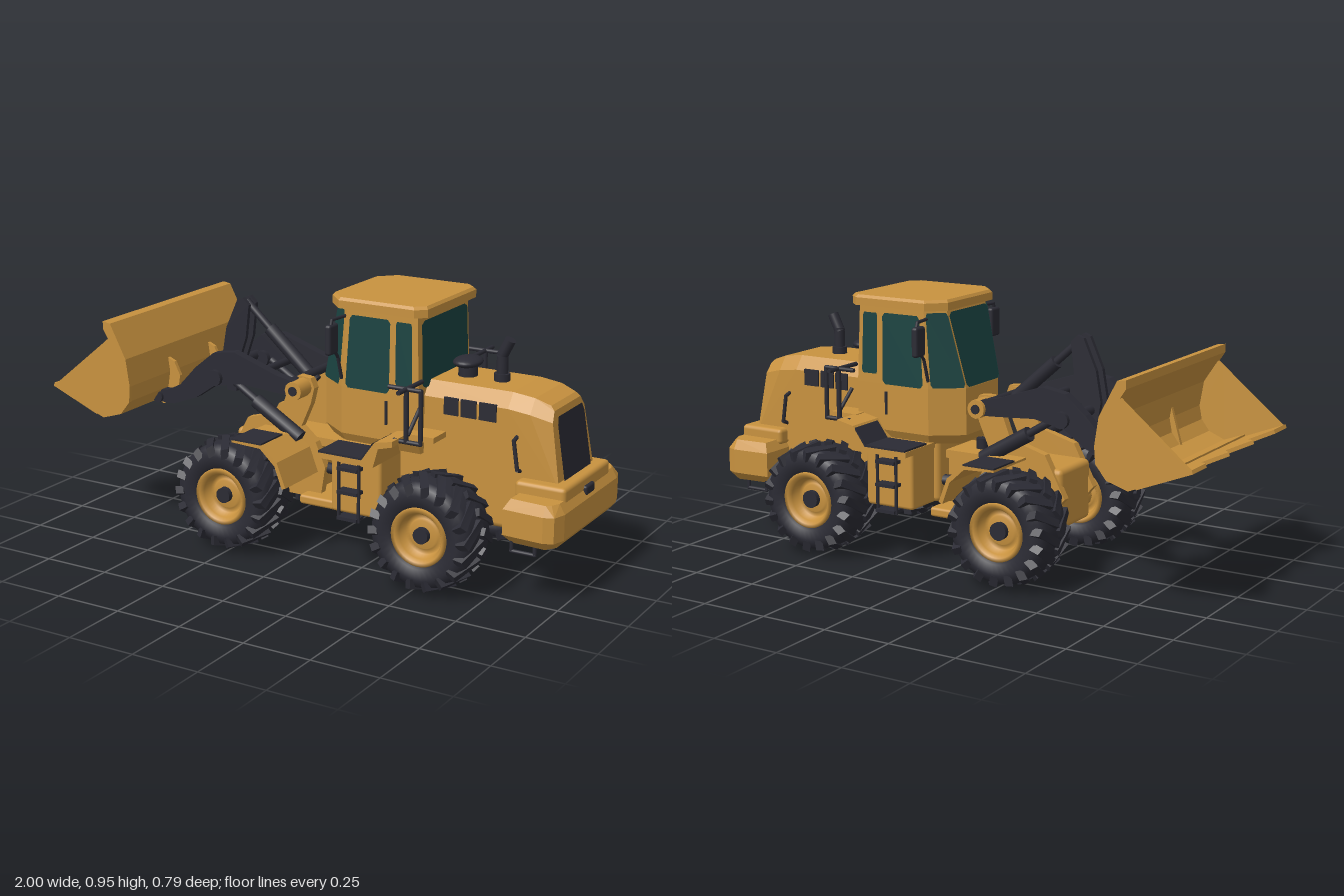
import * as THREE from 'three';
import { mergeGeometries } from 'three/addons/utils/BufferGeometryUtils.js';
import { RoundedBoxGeometry } from 'three/addons/geometries/RoundedBoxGeometry.js';
import { ConvexGeometry } from 'three/addons/geometries/ConvexGeometry.js';

const material = (name, color) => {
  const m = new THREE.MeshStandardMaterial({ color, side: THREE.DoubleSide });
  m.name = name;
  return m;
};

export function createModel() {
  const model = new THREE.Group();
  model.name = 'bucketTractor';
  const paint = material('amberPaint', 0xc8923f);
  const dark = material('charcoal', 0x2b2b34);
  const glass = material('tealGlass', 0x1a4341);
  const V = (x, y, z) => new THREE.Vector3(x, y, z);

  const add = (name, geo, mat, parent = model) => {
    const mesh = new THREE.Mesh(geo, mat);
    mesh.name = name;
    parent.add(mesh);
  };
  // box from its minimum and maximum on each axis
  const box = (name, mat, [x0, x1], [y0, y1], [z0, z1], round = 0) => {
    const size = [x1 - x0, y1 - y0, z1 - z0];
    const geo = round ? new RoundedBoxGeometry(...size, 2, round) : new THREE.BoxGeometry(...size);
    add(name, geo.translate((x0 + x1) / 2, (y0 + y1) / 2, (z0 + z1) / 2), mat);
  };
  // side profile in x and y, given thickness along z, centred at z
  const slab = (name, mat, pts, thick, z = 0) => {
    const shape = new THREE.Shape(pts.map(p => new THREE.Vector2(...p)));
    const geo = new THREE.ExtrudeGeometry(shape, { depth: thick, bevelEnabled: false });
    add(name, geo.translate(0, 0, z - thick / 2), mat);
  };
  // points [x, y, z] are mirrored across z to form a convex body
  const hull = (name, mat, pts) =>
    add(name, new ConvexGeometry(pts.flatMap(([x, y, z]) => [V(x, y, z), V(x, y, -z)])), mat);
  // straight round bars through a list of points
  const rods = (name, mat, pts, r) => {
    const parts = [];
    for (let i = 0; i < pts.length - 1; i++) {
      const a = V(...pts[i]), b = V(...pts[i + 1]), d = b.clone().sub(a);
      const g = new THREE.CylinderGeometry(r, r, d.length() + r * 0.8, 12);
      g.applyQuaternion(new THREE.Quaternion().setFromUnitVectors(V(0, 1, 0), d.normalize()));
      const mid = a.add(b).multiplyScalar(0.5);
      parts.push(g.translate(mid.x, mid.y, mid.z));
    }
    add(name, mergeGeometries(parts), mat);
  };
  // flat polygon
  const face = (name, mat, pts) => {
    const geo = new THREE.BufferGeometry().setFromPoints(pts);
    geo.setIndex(pts.slice(2).flatMap((_, i) => [0, i + 1, i + 2]));
    geo.computeVertexNormals();
    add(name, geo, mat);
  };
  const lathe = (pts) => new THREE.LatheGeometry(pts.map(p => new THREE.Vector2(...p)), 40).rotateX(Math.PI / 2);

  // wheels
  const tyreGeo = lathe([[0.1, -0.075], [0.112, -0.095], [0.15, -0.1], [0.178, -0.09], [0.19, -0.06],
    [0.191, 0], [0.19, 0.06], [0.178, 0.09], [0.15, 0.1], [0.112, 0.095], [0.1, 0.075]]);
  const rimGeo = lathe([[0.001, -0.055], [0.05, -0.055], [0.055, -0.045], [0.072, -0.045], [0.08, -0.075],
    [0.09, -0.09], [0.104, -0.09], [0.104, 0.09], [0.09, 0.09], [0.08, 0.075], [0.072, 0.045],
    [0.055, 0.045], [0.05, 0.055], [0.001, 0.055]]);
  const lugs = [];
  for (const s of [1, -1]) for (let i = 0; i < 18; i++) {
    const g = new THREE.BoxGeometry(0.028, 0.036, 0.115).rotateY(s * 0.55).translate(0, 0.186, s * 0.052);
    const p = g.attributes.position;
    for (let k = 0; k < p.count; k++) p.setY(k, p.getY(k) - Math.max(0, Math.abs(p.getZ(k)) - 0.06) * 0.45);
    g.computeVertexNormals();
    lugs.push(g.rotateZ((i + (s > 0 ? 0 : 0.5)) * Math.PI / 9));
  }
  const lugGeo = mergeGeometries(lugs);
  for (const x of [-0.263, 0.538]) {
    for (const s of [1, -1]) {
      const wheel = new THREE.Group();
      wheel.name = x < 0 ? 'frontWheel' : 'rearWheel';
      wheel.position.set(x, 0.205, s * 0.285);
      add('tyre', tyreGeo, dark, wheel);
      add('treadLugs', lugGeo, dark, wheel);
      add('rim', rimGeo, paint, wheel);
      add('hub', new THREE.CylinderGeometry(0.028, 0.032, 0.15, 16).rotateX(Math.PI / 2), dark, wheel);
      model.add(wheel);
    }
    rods('axle', paint, [[x, 0.205, -0.26], [x, 0.205, 0.26]], 0.048);
  }

  // bucket
  slab('bucketShell', paint, [[-0.85, 0.455], [-0.77, 0.425], [-0.69, 0.45], [-0.655, 0.5], [-0.645, 0.56],
    [-0.66, 0.66], [-0.725, 0.785], [-0.757, 0.79], [-0.757, 0.76], [-0.685, 0.65], [-0.67, 0.56],
    [-0.68, 0.51], [-0.71, 0.47], [-0.77, 0.445], [-0.85, 0.475]], 0.77);
  const lip = new THREE.Shape([[0, -0.385], [-0.215, -0.385], [-0.215, -0.28], [-0.155, -0.19], [-0.215, -0.1],
    [-0.155, 0], [-0.215, 0.1], [-0.155, 0.19], [-0.215, 0.28], [-0.215, 0.385], [0, 0.385]].map(p => new THREE.Vector2(...p)));
  add('bucketCuttingEdge', new THREE.ExtrudeGeometry(lip, { depth: 0.014, bevelEnabled: false })
    .rotateX(-Math.PI / 2).rotateZ(-0.38).translate(-0.8, 0.433, 0), paint);
  for (const s of [1, -1]) {
    slab('bucketSide', paint, [[-0.99, 0.52], [-0.77, 0.425], [-0.69, 0.45], [-0.65, 0.5], [-0.645, 0.56],
      [-0.66, 0.66], [-0.71, 0.75], [-0.757, 0.71]], 0.016, s * 0.377);
    slab('bucketEar', paint, [[-0.67, 0.62], [-0.625, 0.6], [-0.6, 0.55], [-0.615, 0.46], [-0.68, 0.43],
      [-0.72, 0.45]], 0.014, s * 0.13);
  }

  // lifting arms and linkage
  for (const s of [1, -1]) {
    slab('liftArm', dark, [[-0.05, 0.605], [-0.15, 0.625], [-0.33, 0.685], [-0.42, 0.67], [-0.5, 0.605],
      [-0.57, 0.53], [-0.63, 0.5], [-0.69, 0.495], [-0.695, 0.45], [-0.6, 0.452], [-0.5, 0.49],
      [-0.42, 0.545], [-0.3, 0.57], [-0.15, 0.56], [-0.05, 0.555]], 0.036, s * 0.16);
    rods('bucketPin', dark, [[-0.67, 0.47, s * 0.115], [-0.67, 0.47, s * 0.18]], 0.022);
    rods('armBoss', dark, [[-0.41, 0.58, s * 0.135], [-0.41, 0.58, s * 0.182]], 0.03);
    rods('towerBoss', paint, [[-0.07, 0.58, s * 0.09], [-0.07, 0.58, s * 0.178]], 0.034);
    rods('towerPin', dark, [[-0.07, 0.58, s * 0.09], [-0.07, 0.58, s * 0.19]], 0.017);
    rods('liftCylinder', dark, [[-0.08, 0.4, s * 0.14], [-0.25, 0.5, s * 0.14]], 0.027);
    rods('liftRod', dark, [[-0.24, 0.495, s * 0.14], [-0.37, 0.575, s * 0.14]], 0.014);
    slab('bellCrankPlate', dark, [[-0.41, 0.84], [-0.385, 0.85], [-0.36, 0.825], [-0.375, 0.7], [-0.41, 0.6],
      [-0.42, 0.49], [-0.46, 0.49], [-0.48, 0.62], [-0.46, 0.73]], 0.016, s * 0.024);
  }
  rods('bellCrankPin', dark, [[-0.44, 0.59, -0.15], [-0.44, 0.59, 0.15]], 0.018);
  rods('armCrossTube', dark, [[-0.25, 0.61, -0.15], [-0.25, 0.61, 0.15]], 0.014);
  rods('towerCrossTube', dark, [[-0.1, 0.6, -0.15], [-0.1, 0.6, 0.15]], 0.016);
  rods('tiltRod', dark, [[-0.385, 0.83, 0], [-0.24, 0.7, 0]], 0.014);
  rods('tiltCylinder', dark, [[-0.28, 0.735, 0], [-0.1, 0.575, 0]], 0.025);

  // front frame
  box('frontFrameCore', paint, [-0.37, -0.03], [0.16, 0.38], [-0.11, 0.11], 0.02);
  for (const s of [1, -1]) {
    slab('tower', paint, [[-0.12, 0.6], [-0.09, 0.62], [-0.04, 0.615], [-0.025, 0.58], [-0.04, 0.52], [-0.08, 0.43],
      [-0.02, 0.38], [0.02, 0.29], [0, 0.17], [-0.3, 0.17], [-0.39, 0.28], [-0.31, 0.43], [-0.17, 0.47]], 0.03, s * 0.105);
    slab('frontFender', paint, [[-0.235, 0.413], [-0.11, 0.413], [-0.045, 0.36], [-0.01, 0.27], [-0.025, 0.265],
      [-0.055, 0.345], [-0.115, 0.4], [-0.235, 0.405]], 0.22, s * 0.23);
    box('frontFenderTread', dark, [-0.235, -0.11], [0.413, 0.419], [s * 0.27 - 0.07, s * 0.27 + 0.07]);
    rods('steeringCylinder', dark, [[-0.04, 0.28, s * 0.08], [0.2, 0.28, s * 0.11]], 0.02);
  }
  box('jointUpperPlate', paint, [-0.05, 0.15], [0.36, 0.39], [-0.09, 0.09]);
  box('jointLowerPlate', paint, [-0.06, 0.14], [0.155, 0.19], [-0.17, 0.17], 0.01);
  box('jointBlock', paint, [0.03, 0.14], [0.19, 0.37], [-0.07, 0.07], 0.01);
  rods('jointPin', dark, [[0.02, 0.17, 0], [0.02, 0.42, 0]], 0.022);

  // rear frame, hood and counterweight
  box('rearFrame', paint, [0.12, 0.93], [0.2, 0.45], [-0.14, 0.14], 0.02);
  hull('hood', paint, [[0.42, 0.35, 0.148], [0.42, 0.63, 0.148], [0.42, 0.68, 0.11], [0.75, 0.35, 0.148],
    [0.75, 0.63, 0.148], [0.75, 0.68, 0.11], [0.83, 0.67, 0.108], [0.83, 0.62, 0.145], [0.885, 0.65, 0.1],
    [0.9, 0.635, 0.107], [0.906, 0.6, 0.13], [0.944, 0.37, 0.145]]);
  face('rearGrille', dark, [[0.4, 0.11], [0.59, 0.108], [0.616, 0.096], [0.616, -0.096], [0.59, -0.108], [0.4, -0.11]]
    .map(([y, z]) => V(0.908 + (0.635 - y) * 0.1636, y, z)));
  const weight = [[0.205, 0.025], [0.235, 0], [0.325, 0], [0.36, 0.02]];
  hull('counterweight', paint, weight.flatMap(([y, d]) => [[0.8 + d, y, 0.275 - d], [0.95, y, 0.284 - d],
    [0.985 - d, y, 0.27 - d], [1 - d, y, 0.22]]));
  box('counterweightCap', paint, [0.8, 0.985], [0.34, 0.4], [-0.19, 0.19], 0.015);
  box('rearLatch', dark, [0.96, 0.997], [0.333, 0.367], [-0.035, 0.035], 0.008);
  for (const s of [1, -1]) {
    for (const [x, w] of [[0.512, 0.054], [0.576, 0.058], [0.645, 0.064]])
      box('hoodVent', dark, [x, x + w], [0.577, 0.638], [s * 0.149 - 0.004, s * 0.149 + 0.004]);
    rods('hoodHandle', dark, [[0.8, 0.42, s * 0.145], [0.8, 0.43, s * 0.17], [0.785, 0.53, s * 0.17], [0.785, 0.54, s * 0.14]], 0.007);
    rods('rearStep', dark, [[0.825, 0.25, s * 0.25], [0.825, 0.175, s * 0.25], [0.91, 0.175, s * 0.25], [0.91, 0.25, s * 0.25]], 0.007);
  }

  // exhaust and air intake
  rods('exhaust', dark, [[0.655, 0.67, 0], [0.655, 0.77, 0], [0.68, 0.82, 0]], 0.02);
  rods('exhaustCollar', dark, [[0.655, 0.67, 0], [0.655, 0.695, 0]], 0.028);
  rods('intakeStem', dark, [[0.525, 0.66, 0], [0.525, 0.72, 0]], 0.034);
  add('intakeCap', new THREE.SphereGeometry(0.05, 24, 12).scale(1, 0.4, 1.3).translate(0.525, 0.73, 0), dark);

  // cab
  const low = [[0.02, 0.11], [0.13, 0.19], [0.435, 0.19]];
  const top = [[0.09, 0.13], [0.15, 0.185], [0.425, 0.185]];
  hull('cabBase', paint, [...low.map(([x, z]) => [x, 0.63, z]), ...low.map(([x, z]) => [x, 0.46, z]),
    [0.045, 0.425, 0.1], [0.14, 0.425, 0.17], [0.435, 0.425, 0.17]]);
  hull('cabUpper', paint, [...low.map(([x, z]) => [x, 0.63, z]), ...top.map(([x, z]) => [x, 0.915, z])]);
  const corner = (list, y, i, s) => V(list[i][0], y, s * list[i][1]);
  // pane set on the cab wall between two corners, with clipped corners
  const pane = (name, [i, si], [j, sj], u0, u1, v0, v1) => {
    const a = corner(low, 0.63, i, si), b = corner(low, 0.63, j, sj);
    const c = corner(top, 0.915, i, si), d = corner(top, 0.915, j, sj);
    const n = b.clone().sub(a).cross(c.clone().sub(a)).normalize();
    if (n.dot(a.clone().sub(V(0.25, 0.7, 0))) < 0) n.negate();
    const cu = (u1 - u0) * 0.06, cv = (v1 - v0) * 0.05;
    const uv = [[u0 + cu, v0], [u1 - cu, v0], [u1, v0 + cv], [u1, v1 - cv], [u1 - cu, v1], [u0 + cu, v1], [u0, v1 - cv], [u0, v0 + cv]];
    face(name, glass, uv.map(([u, v]) => a.clone().lerp(b, u).lerp(c.clone().lerp(d, u), v).addScaledVector(n, 0.006)));
  };
  pane('windshield', [0, 1], [0, -1], 0, 1, 0.01, 0.95);
  pane('rearWindow', [2, 1], [2, -1], 0.05, 0.95, 0.1, 0.92);
  for (const s of [1, -1]) {
    pane('quarterWindow', [0, s], [1, s], 0, 0.93, 0.01, 0.95);
    pane('doorWindow', [1, s], [2, s], 0.06, 0.63, 0, 0.91);
    pane('rearSideWindow', [2, s], [1, s], 0.07, 0.29, 0.12, 0.9);
    rods('doorHandle', dark, [[0.31, 0.52, s * 0.193], [0.31, 0.6, s * 0.193]], 0.005);
  }
  const roof = [[0.07, 0.15], [0.13, 0.212], [0.425, 0.212], [0.46, 0.18]];
  hull('roof', paint, roof.flatMap(([x, z]) => [[x, 0.912, z], [x, 0.94, z], [x + (0.26 - x) * 0.04, 0.95, z * 0.96]]));

  // platforms, steps, rails and mirrors
  for (const s of [1, -1]) {
    slab('platform', paint, [[0.125, 0.43], [0.3, 0.43], [0.35, 0.5], [0.42, 0.515], [0.42, 0.495],
      [0.365, 0.48], [0.345, 0.41], [0.125, 0.41]], 0.19, s * 0.25);
    slab('innerFender', paint, [[0.41, 0.515], [0.52, 0.515], [0.52, 0.495], [0.41, 0.495]], 0.1, s * 0.19);
    slab('platformTread', dark, [[0.128, 0.43], [0.3, 0.43], [0.34, 0.486], [0.34, 0.495], [0.297, 0.437],
      [0.128, 0.437]], 0.14, s * 0.275);
    box('stepBox', paint, [0.14, 0.34], [0.2, 0.42], [s * 0.2 - 0.08, s * 0.2 + 0.08], 0.012);
    for (const x of [0.19, 0.27]) rods('ladderRail', dark, [[x, 0.41, s * 0.31], [x, 0.19, s * 0.31]], 0.006);
    for (const y of [0.19, 0.285, 0.37]) box('ladderStep', dark, [0.19, 0.27], [y, y + 0.012], [s * 0.3 - 0.025, s * 0.3 + 0.025]);
    rods('railFoot', dark, [[0.4, 0.505, s * 0.295], [0.5, 0.505, s * 0.295]], 0.008);
    rods('railPost', dark, [[0.445, 0.505, s * 0.295], [0.445, 0.69, s * 0.295]], 0.009);
    rods('railHoop', dark, [[0.38, 0.69, s * 0.295], [0.5, 0.69, s * 0.295], [0.5, 0.505, s * 0.295]], 0.008);
    rods('railTop', dark, [[0.445, 0.69, s * 0.19], [0.445, 0.69, s * 0.35]], 0.008);
    rods('railBrace', dark, [[0.45, 0.53, s * 0.29], [0.45, 0.6, s * 0.21]], 0.007);
    box('mirror', dark, [0.115, 0.14], [0.757, 0.865], [s * 0.253 - 0.03, s * 0.253 + 0.03], 0.01);
    rods('mirrorArm', dark, [[0.14, 0.88, s * 0.18], [0.13, 0.88, s * 0.255], [0.13, 0.85, s * 0.265]], 0.006);
    rods('mirrorStay', dark, [[0.13, 0.77, s * 0.24], [0.13, 0.74, s * 0.215], [0.13, 0.66, s * 0.19]], 0.006);
  }
  return model;
}
